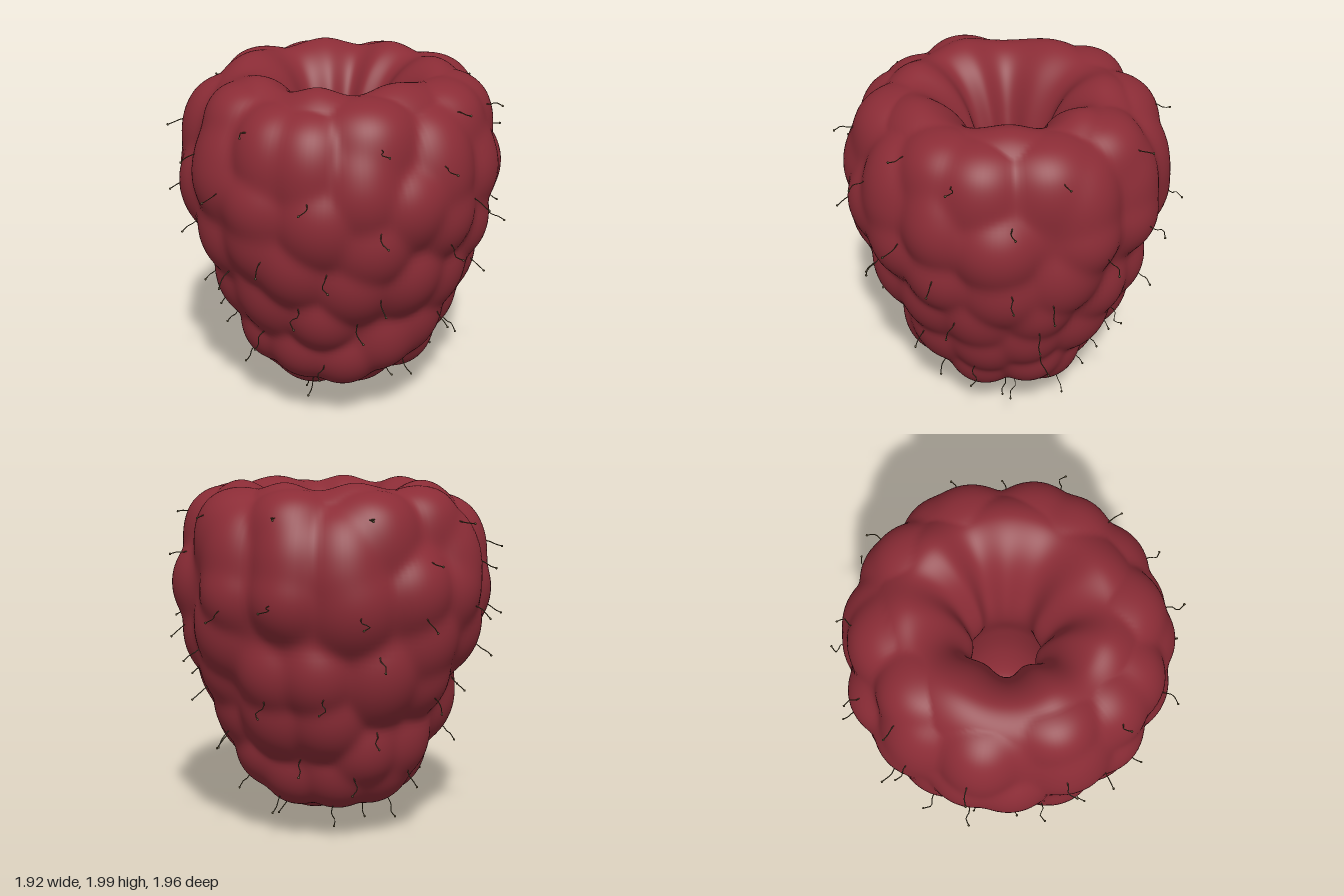
import * as THREE from 'three';
import { mergeVertices, mergeGeometries } from 'three/addons/utils/BufferGeometryUtils.js';

// Core profile under the drupelets: tip, flank, rim, then down into the hollow
const PROFILE = [
  [0, 0.165], [0.18, 0.18], [0.35, 0.26], [0.48, 0.41], [0.565, 0.59], [0.66, 0.83], [0.76, 1.1], [0.82, 1.4],
  [0.8, 1.6], [0.74, 1.78], [0.64, 1.9], [0.5, 1.94], [0.36, 1.85], [0.26, 1.66], [0.205, 1.4],
  [0.28, 1.0], [0.29, 0.65], [0.2, 0.4], [0, 0.34],
];
const RIM = 11; // index of the rim crest in PROFILE

// Drupelets placed by hand on the front (x, y) and on the left side (z, y)
const FRONT = [
  [-0.17, 1.38], [0.2, 1.32], [0.43, 1.55], [0.46, 1.18], [0.02, 1.02], [-0.2, 0.77], [0.13, 0.7],
  [-0.45, 1.1], [-0.43, 0.78], [0.34, 0.92], [-0.3, 0.47], [-0.05, 0.42], [0.2, 0.38], [0.42, 0.5],
  [-0.42, 1.55], [-0.1, 1.72], [0.12, 1.7], [-0.68, 1.3], [0.65, 1.4], [-0.14, 0.2], [0.12, 0.17],
];
const SIDE = [
  [-0.03, 1.53], [0.3, 1.62], [0.27, 1.28], [-0.36, 1.4], [-0.01, 1.15], [-0.36, 1.08], [0.12, 0.87],
  [-0.18, 0.85], [0.15, 0.58], [-0.16, 0.6], [-0.4, 0.68], [-0.36, 0.42], [-0.06, 0.35], [0.02, 1.84],
];
// Hair roots, placed the same way
const HAIR_FRONT = [
  [-0.16, 1.83], [-0.32, 1.5], [0.16, 1.52], [-0.08, 1.18], [0.24, 1.1], [-0.34, 1], [0.05, 0.87], [0.46, 0.95],
  [0.33, 0.75], [-0.2, 0.62], [-0.45, 0.63], [0.12, 0.48], [-0.35, 0.4], [-0.02, 0.25], [0.45, 1.78],
  [-0.74, 1.67], [-0.57, 1.22], [0.5, 1.37], [0.68, 1.66], [0.72, 1.23], [-0.77, 1.34],
];
const HAIR_SIDE = [
  [0.57, 1.65], [0.36, 1.52], [-0.14, 1.82], [-0.05, 1.27], [0.27, 1.12], [-0.41, 1.24], [0.45, 0.95],
  [-0.11, 0.96], [0.14, 0.74], [-0.48, 0.92], [-0.13, 0.57], [0.13, 0.38], [-0.26, 0.38], [-0.1, 0.2],
];
// Rows used to fill the remaining surface: height, count
const ROWS = [[0.17, 4], [0.3, 8], [0.47, 10], [0.67, 12], [0.9, 13], [1.14, 14], [1.39, 14], [1.64, 13], [1.84, 10]];

function seeded(seed) {
  return () => {
    seed = (seed * 16807) % 2147483647;
    return seed / 2147483647;
  };
}

// Core radius at a height on the outer flank
function radiusAt(y) {
  for (let i = 0; i < RIM; i++) {
    const [r0, y0] = PROFILE[i], [r1, y1] = PROFILE[i + 1];
    if (y <= y1) return r0 + (r1 - r0) * Math.max(0, (y - y0) / (y1 - y0));
  }
  return 0.5;
}

// Points on the flank: the hand-placed ones first, then staggered rows in the gaps
function scatter(front, side, gap, rand) {
  const list = [];
  const add = (x, y, z, space) => {
    const p = new THREE.Vector3(x, y, z);
    if (list.every((q) => q.distanceTo(p) > space)) list.push(p);
  };
  const depth = (a, y) => Math.sqrt(Math.max(0, radiusAt(y) ** 2 - a * a));
  front.forEach(([x, y]) => add(x, y, depth(x, y), 0.17));
  side.forEach(([z, y]) => add(depth(z, y), y, z, 0.19));
  ROWS.forEach(([y, n], row) => {
    for (let i = 0; i < n; i++) {
      const a = ((i + (row % 2) / 2 + (rand() - 0.5) * 0.3) / n) * Math.PI * 2;
      const h = y + (rand() - 0.5) * 0.08;
      add(radiusAt(h) * Math.sin(a), h, radiusAt(h) * Math.cos(a), gap);
    }
  });
  return list;
}

// Height of the rounded drupelet surface above the core, blended softly in the creases
function swelling(v, drupelets) {
  let sum = 1;
  const k = 75;
  for (const { p, size } of drupelets) {
    const dy = (v.y - p.y) * (p.y > 1.5 ? 0.65 : 0.88);
    const d2 = ((v.x - p.x) ** 2 + dy * dy + (v.z - p.z) ** 2) / (size * size);
    if (d2 < 2.5) sum += Math.exp(k * 0.085 * (1 - d2));
  }
  return Math.log(sum) / k;
}

function buildBody(drupelets) {
  const { smoothstep } = THREE.MathUtils;
  const curve = new THREE.SplineCurve(PROFILE.map(([r, y]) => new THREE.Vector2(r, y)));
  const points = curve.getPoints(180);
  points.forEach((p) => { p.x = Math.max(0, p.x); });
  points[0].x = points[180].x = 0;
  const rows = points.length;
  const geo = new THREE.LatheGeometry(points, 180);
  const pos = geo.attributes.position, nor = geo.attributes.normal;
  const v = new THREE.Vector3(), n = new THREE.Vector3();
  for (let i = 0; i < pos.count; i++) {
    const t = ((i % rows) / (rows - 1)) * (PROFILE.length - 1);
    v.fromBufferAttribute(pos, i);
    n.fromBufferAttribute(nor, i);
    if (i % rows === 0) n.set(0, -1, 0);
    // drupelets flatten out over the rim
    const fade = (1 - 0.5 * smoothstep(t, 9, RIM)) * (1 - smoothstep(t, RIM, RIM + 3));
    const a = Math.atan2(v.x, v.z);
    // broad lobes folding over the rim into the hollow
    const lobes = (0.03 + 0.02 * Math.sin(a * 7 + 0.8 * Math.sin(a * 2)))
      * smoothstep(t, 9, RIM) * (1 - smoothstep(t, 13, 15));
    v.addScaledVector(n, Math.max(swelling(v, drupelets) * fade, lobes));
    // the hollow sits slightly off the axis
    pos.setXYZ(i, v.x - 0.02 * smoothstep(t, RIM, 14), v.y, v.z);
  }
  geo.deleteAttribute('uv');
  geo.deleteAttribute('normal');
  const body = mergeVertices(geo, 1e-4);
  body.computeVertexNormals();
  return body;
}

// A thin strand along a path with a small bead at its end
function strand(path) {
  const end = path[path.length - 1];
  const bead = new THREE.SphereGeometry(0.007, 6, 4).translate(end.x, end.y, end.z);
  return mergeGeometries([new THREE.TubeGeometry(new THREE.CatmullRomCurve3(path), 7, 0.003, 4), bead]);
}

// One kinked hair growing out of the surface, drooping more towards the tip of the berry
function buildHair(p, drupelets, rand) {
  const flat = new THREE.Vector3(p.x, 0, p.z).normalize();
  const slope = THREE.MathUtils.lerp(-1.9, -0.1, Math.min(1, p.y / 1.8));
  const dir = flat.clone().setY(slope + (rand() - 0.5) * 0.4).normalize();
  const side = new THREE.Vector3(-flat.z, 0, flat.x);
  const root = p.clone().addScaledVector(dir, swelling(p, drupelets) - 0.02);
  const path = [0, 0.06, 0.09, 0.13].map((s, i) => root.clone().addScaledVector(dir, s)
    .addScaledVector(side, i ? (rand() - 0.5) * 0.05 : 0));
  path.forEach((q) => { q.y = Math.max(0.01, q.y - 0.012 * rand()); });
  return strand(path);
}

export function createModel() {
  const rand = seeded(71);
  const flesh = new THREE.MeshStandardMaterial({ color: 0x8b2c36 });
  flesh.name = 'berryRed';
  const brown = new THREE.MeshStandardMaterial({ color: 0x554a2e });
  brown.name = 'hairBrown';

  const drupelets = scatter(FRONT, SIDE, 0.225, rand).map((p) => ({ p, size: 0.2 + rand() * 0.04 }));
  const roots = scatter(HAIR_FRONT, HAIR_SIDE, 0.235, rand);
  const group = new THREE.Group();
  group.name = 'raspberry';

  const body = new THREE.Mesh(buildBody(drupelets), flesh);
  body.name = 'drupeletBody';
  const hairs = new THREE.Mesh(mergeGeometries(roots.map((p) => buildHair(p, drupelets, rand))), brown);
  hairs.name = 'hairs';
  // the longest hair hangs from the tip
  const tipPath = [[-0.15, 0.15, 0.08], [-0.16, 0.08, 0.09], [-0.155, 0.04, 0.1], [-0.17, 0.007, 0.1]];
  const tipHair = new THREE.Mesh(strand(tipPath.map((p) => new THREE.Vector3(...p))), brown);
  tipHair.name = 'tipHair';

  group.add(body, hairs, tipHair);
  group.position.z = 0.025; // the body leans slightly to the front
  return group;
}
